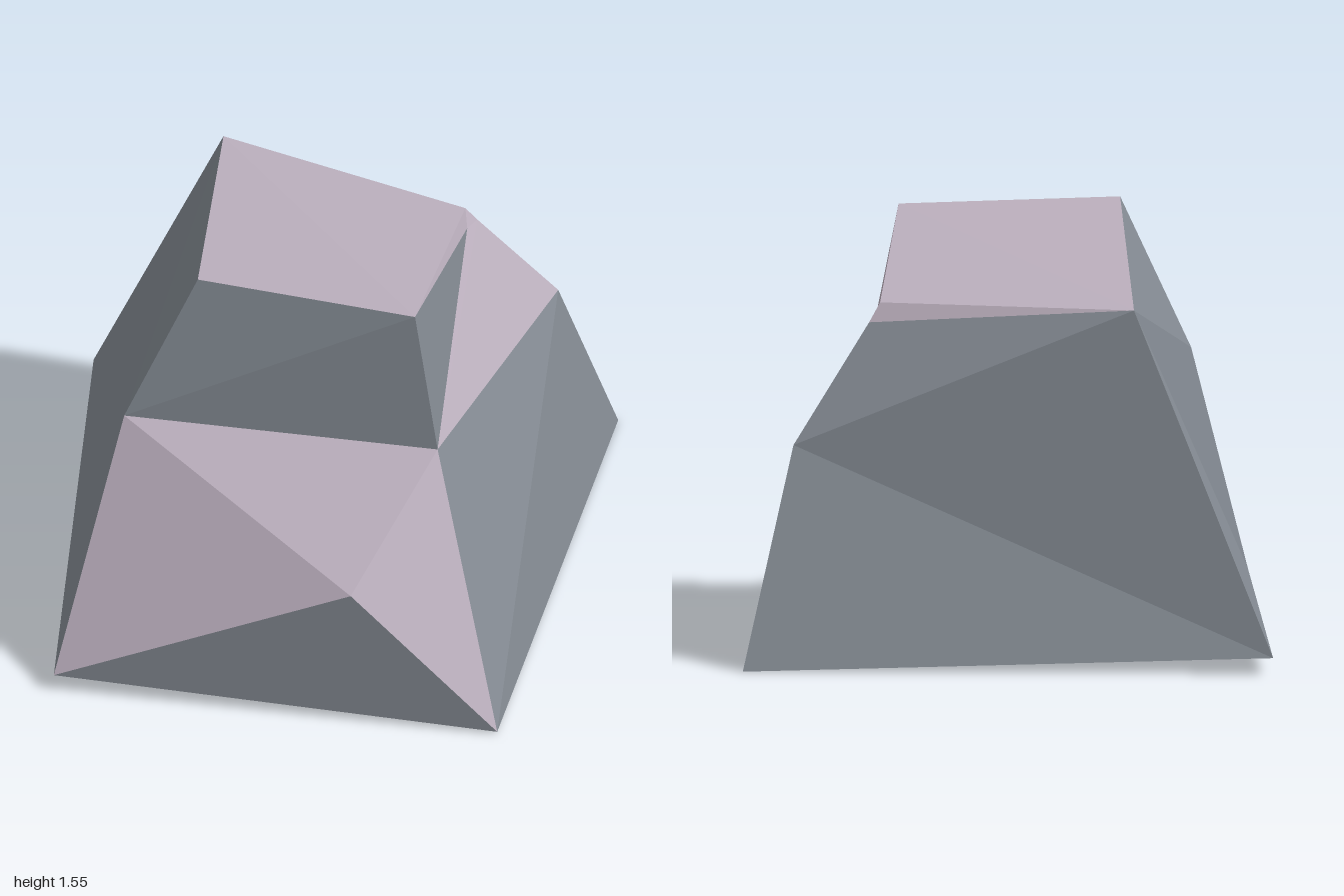
import * as THREE from 'three';

// Corners of the boulder
const P = {
  // base
  A: [-0.98, 0.06, -1.0], B: [0.98, 0, -0.99], C: [0.82, 0.01, 1.0], D: [-0.84, 0.07, 0.97],
  // front ledge and bulge
  E: [-0.64, 0.97, 0.54], F: [0.53, 0.94, 0.54], G: [0.27, 0.56, 0.98],
  // crown
  H: [-0.38, 1.55, 0.44], I: [0.44, 1.51, 0.5], J: [-0.46, 1.32, -0.76], K: [0.485, 1.3, -0.475],
  // left shoulder and the chipped corner
  L: [0.8, 0.8, -0.69], M: [0.5, 1.25, -0.42], N: [0.525, 1.23, -0.505],
};

// Flat facets from three-letter corner names, counter-clockwise from outside
function facets(name, faces, material) {
  const points = faces.split(' ').flatMap((f) => [...f].flatMap((c) => P[c]));
  const geometry = new THREE.BufferGeometry();
  geometry.setAttribute('position', new THREE.Float32BufferAttribute(points, 3));
  geometry.computeVertexNormals();
  const mesh = new THREE.Mesh(geometry, material);
  mesh.name = name;
  return mesh;
}

export function createModel() {
  const grey = new THREE.MeshStandardMaterial({ color: 0x858c94 });
  grey.name = 'slate grey';
  const pale = new THREE.MeshStandardMaterial({ color: 0xbcb0be });
  pale.name = 'pale mauve';

  const rock = new THREE.Group();
  rock.name = 'rock';
  rock.add(
    facets('upperFront', 'EFI EIH', grey),
    facets('frontFoot', 'DCG', grey),
    facets('frontLedge', 'DGE EGF GCF', pale),
    facets('leftSide', 'CLF CBL FMI', grey),
    facets('leftShoulder', 'FLN FNM', pale),
    facets('chippedCorner', 'IMK MNK NJK', pale),
    facets('back', 'BAL AJL LJN', grey),
    facets('rightSide', 'ADJ DEJ EHJ', grey),
    facets('crown', 'HIJ IKJ', pale),
    facets('underside', 'ABC ACD', grey),
  );
  return rock;
}
